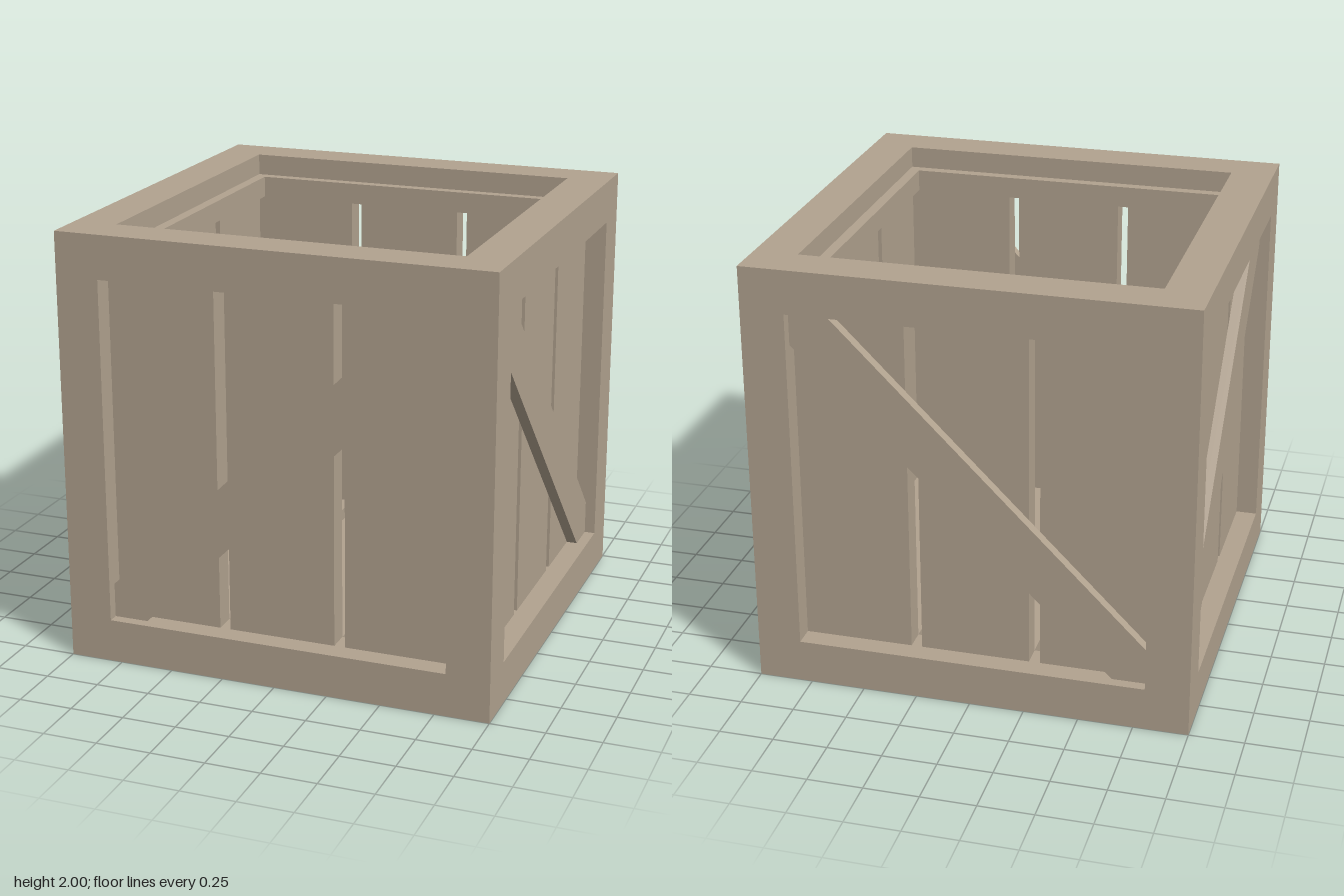
import * as THREE from 'three';

const wood = new THREE.MeshStandardMaterial({ color: 0xb1a28f });
wood.name = 'weathered wood';

function box(name, w, h, d, x, y, z) {
  const mesh = new THREE.Mesh(new THREE.BoxGeometry(w, h, d), wood);
  mesh.name = name;
  mesh.position.set(x, y, z);
  return mesh;
}

// One slatted wall facing +z: three planks and a diagonal brace.
// slope = 1 makes the brace rise towards local +x, -1 towards local -x.
function slattedPanel(name, slope) {
  const panel = new THREE.Group();
  panel.name = name;
  for (const [x0, x1] of [[-0.8, -0.3], [-0.25, 0.25], [0.3, 0.8]]) {
    panel.add(box('plank', x1 - x0, 1.6, 0.1, (x0 + x1) / 2, 0, 0.85));
  }
  const a = 0.8, b = 0.64;
  const outline = [[-a, -a], [-b, -a], [a, b], [a, a], [b, a], [-a, -b]];
  const shape = new THREE.Shape(outline.map(([x, y]) => new THREE.Vector2(x * slope, y)));
  const brace = new THREE.Mesh(
    new THREE.ExtrudeGeometry(shape, { depth: 0.05, bevelEnabled: false }), wood);
  brace.name = 'diagonalBrace';
  brace.position.z = 0.9;
  panel.add(brace);
  return panel;
}

export function createModel() {
  const crate = new THREE.Group();
  crate.name = 'openCrate';
  const body = new THREE.Group();
  body.name = 'crateBody';
  body.position.y = 1;
  crate.add(body);

  // Outer frame: corner posts and horizontal beams
  for (const s of [-0.9, 0.9]) {
    for (const t of [-0.9, 0.9]) {
      body.add(box('cornerPost', 0.2, 2, 0.2, s, 0, t));
      body.add(box('crossBeam', 1.6, 0.2, 0.2, 0, s, t));
      body.add(box('sideBeam', 0.2, 0.2, 1.6, t, s, 0));
    }
  }

  // Four walls and the floor; the top stays open
  const walls = [
    ['frontPanel', 1, 0, 0],
    ['backPanel', -1, 0, Math.PI],
    ['leftPanel', -1, 0, Math.PI / 2],
    ['rightPanel', 1, 0, -Math.PI / 2],
    ['floorPanel', -1, Math.PI / 2, 0],
  ];
  for (const [name, slope, rx, ry] of walls) {
    const panel = slattedPanel(name, slope);
    panel.rotation.set(rx, ry, 0);
    body.add(panel);
  }

  // Inner ledge just below the rim
  for (const s of [-1, 1]) {
    body.add(box('rimLedge', 1.6, 0.1, 0.05, 0, 0.85, s * 0.775));
    body.add(box('rimLedge', 0.05, 0.1, 1.5, s * 0.775, 0.85, 0));
  }
  return crate;
}
